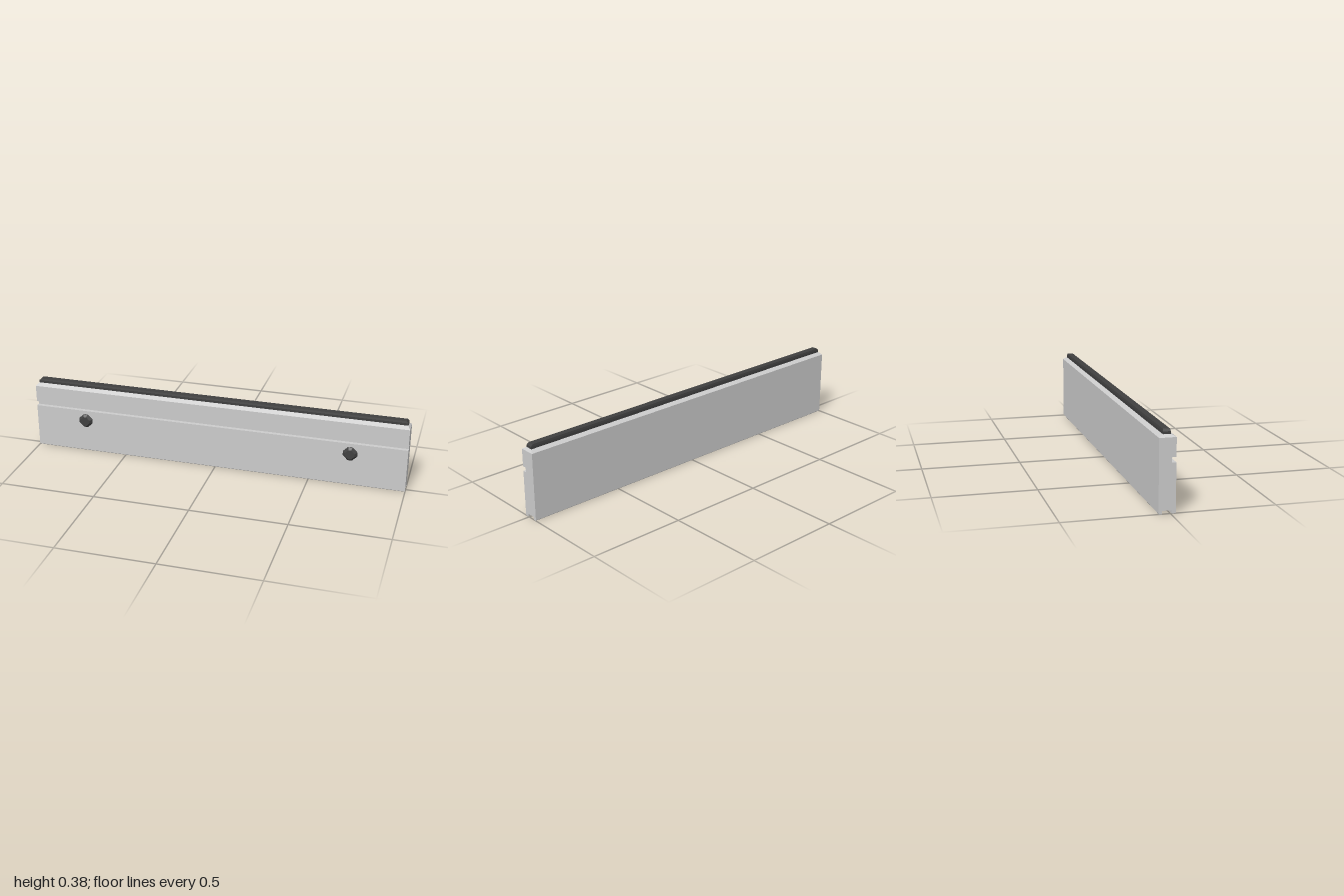
import * as THREE from 'three';

const grey = new THREE.MeshStandardMaterial({ color: 0xcccccc, flatShading: true });
const dark = new THREE.MeshStandardMaterial({ color: 0x404040, flatShading: true });

function add(parent, name, geometry, material) {
  const mesh = new THREE.Mesh(geometry, material);
  mesh.name = name;
  parent.add(mesh);
  return mesh;
}

// Box between two heights whose top is drawn in by dx and dz on each side
function taperedBox(width, depth, y0, y1, dx, dz, zCentre) {
  const g = new THREE.BoxGeometry(width, y1 - y0, depth);
  const p = g.attributes.position;
  for (let i = 0; i < p.count; i++) {
    if (p.getY(i) > 0) {
      p.setX(i, p.getX(i) - Math.sign(p.getX(i)) * dx);
      p.setZ(i, p.getZ(i) - Math.sign(p.getZ(i)) * dz);
    }
  }
  g.translate(0, (y0 + y1) / 2, zCentre);
  g.computeVertexNormals();
  return g;
}

// Diamond with clipped corners, from z0 to z1, its front scaled by frontScale
function clippedDiamond(r, clip, z0, z1, frontScale = 1) {
  const points = [];
  for (let i = 0; i < 4; i++) {
    for (const side of [-clip, clip]) {
      points.push(new THREE.Vector2(r, side).rotateAround(new THREE.Vector2(), i * Math.PI / 2));
    }
  }
  const g = new THREE.ExtrudeGeometry(new THREE.Shape(points), { depth: z1 - z0, bevelEnabled: false });
  const p = g.attributes.position;
  for (let i = 0; i < p.count; i++) {
    if (p.getZ(i) > 0.0001) p.setXY(i, p.getX(i) * frontScale, p.getY(i) * frontScale);
  }
  g.translate(0, 0, z0);
  g.computeVertexNormals();
  return g;
}

function createKnob(x) {
  const knob = new THREE.Group();
  knob.name = x > 0 ? 'leftKnob' : 'rightKnob';
  const stem = new THREE.CylinderGeometry(0.007, 0.007, 0.012, 8).rotateX(Math.PI / 2).translate(0, 0, 0.028);
  add(knob, 'knobStem', stem, dark);
  add(knob, 'knobCollar', clippedDiamond(0.019, 0.006, 0.03, 0.042), dark);
  add(knob, 'knobRim', clippedDiamond(0.037, 0.011, 0.041, 0.044), dark);
  add(knob, 'knobFace', clippedDiamond(0.037, 0.011, 0.044, 0.057, 0.68), dark);
  knob.position.set(x, 0.186, 0);
  return knob;
}

export function createModel() {
  const model = new THREE.Group();
  model.name = 'panel';

  // Panel section as [z, y], with the front groove and the slot underneath
  const section = [
    [0.025, 0.003], [0.025, 0.233], [0.004, 0.233], [0.004, 0.257], [0.025, 0.257],
    [0.025, 0.347], [-0.055, 0.347], [-0.055, 0.003], [-0.053, 0], [-0.038, 0],
    [-0.038, 0.015], [0.004, 0.015], [0.004, 0.003], [0.007, 0], [0.023, 0],
  ];
  const shape = new THREE.Shape(section.map(([z, y]) => new THREE.Vector2(-z, y)));
  const body = new THREE.ExtrudeGeometry(shape, { depth: 2, bevelEnabled: false });
  body.translate(0, 0, -1).rotateY(Math.PI / 2);
  add(model, 'panelBody', body, grey);

  // Sloped top edge
  add(model, 'panelTop', taperedBox(2, 0.08, 0.347, 0.36, 0.012, 0.022, -0.015), grey);

  // Dark sealing strip along the top
  add(model, 'stripBase', taperedBox(1.976, 0.036, 0.359, 0.372, 0, 0, -0.016), dark);
  add(model, 'stripCrown', taperedBox(1.976, 0.036, 0.372, 0.382, 0.01, 0.002, -0.016), dark);

  // Pair of knobs on the front
  for (const side of [-1, 1]) model.add(createKnob(side * 0.713));

  return model;
}
